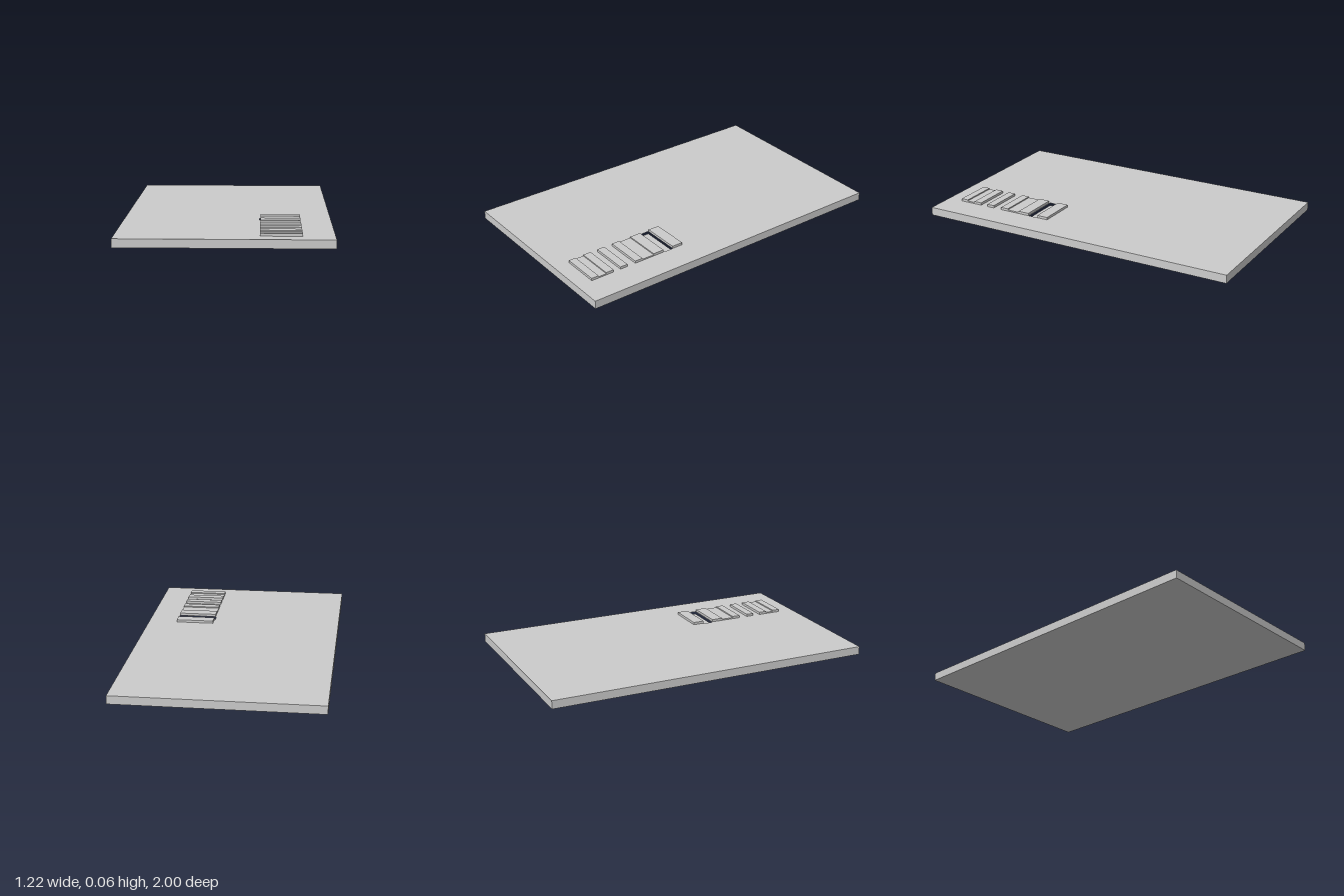
import * as THREE from 'three';

const material = new THREE.MeshStandardMaterial({ color: 0xcccccc, flatShading: true });
const SLAB_TOP = 0.05;
const LEFT = 0.195, RIGHT = 0.43;

// Box given by its limits on each axis
function block(name, x0, x1, y0, y1, z0, z1) {
  const mesh = new THREE.Mesh(new THREE.BoxGeometry(x1 - x0, y1 - y0, z1 - z0), material);
  mesh.position.set((x0 + x1) / 2, (y0 + y1) / 2, (z0 + z1) / 2);
  mesh.name = name;
  return mesh;
}

function rectangle(path, x0, x1, z0, z1) {
  path.moveTo(x0, -z0);
  path.lineTo(x1, -z0);
  path.lineTo(x1, -z1);
  path.lineTo(x0, -z1);
  path.closePath();
  return path;
}

export function createModel() {
  const model = new THREE.Group();
  model.name = 'panel';

  // Flat slab with a shallow slot between the ribs
  const outline = rectangle(new THREE.Shape(), -0.61, 0.61, -1, 1);
  outline.holes.push(rectangle(new THREE.Path(), 0.19, RIGHT, 0.34, 0.4));
  const slabGeometry = new THREE.ExtrudeGeometry(outline, { depth: SLAB_TOP, bevelEnabled: false });
  slabGeometry.rotateX(-Math.PI / 2);
  const slab = new THREE.Mesh(slabGeometry, material);
  slab.name = 'slab';
  model.add(slab, block('slotFloor', 0.19, RIGHT, 0, 0.035, 0.34, 0.4));

  // Raised ribs, as [back, front] along z
  const ribs = new THREE.Group();
  ribs.name = 'ribs';
  for (const [z0, z1] of [[0.27, 0.34], [0.405, 0.475], [0.555, 0.605], [0.66, 0.708], [0.755, 0.805], [0.857, 0.903]]) {
    ribs.add(block('rib', LEFT, RIGHT, SLAB_TOP, 0.065, z0, z1));
  }
  model.add(ribs);

  // Lower webs joining neighbouring ribs
  for (const [z0, z1] of [[0.475, 0.555], [0.805, 0.857]]) {
    model.add(block('web', LEFT, RIGHT, SLAB_TOP, 0.058, z0, z1));
  }
  return model;
}
